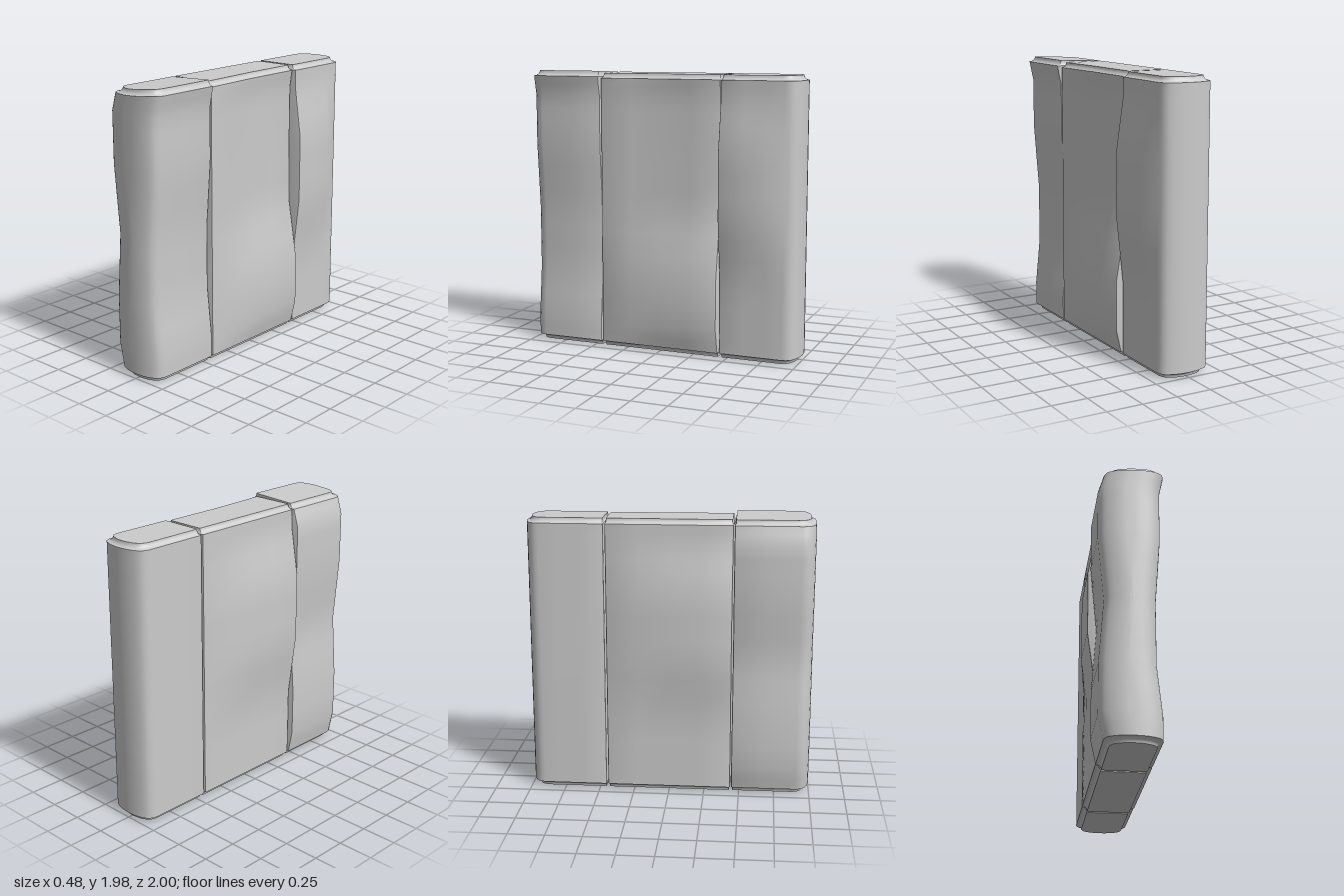
import * as THREE from 'three';
import { toCreasedNormals } from 'three/addons/utils/BufferGeometryUtils.js';

const TOP = 1.96;
const clamp01 = (t) => Math.min(1, Math.max(0, t));

// Piecewise-linear profile through [y, width] knots
function profile(knots) {
  return (y) => {
    if (y <= knots[0][0]) return knots[0][1];
    for (let i = 1; i < knots.length; i++) {
      const [y0, w0] = knots[i - 1], [y1, w1] = knots[i];
      if (y <= y1) return w0 + (w1 - w0) * (y - y0) / (y1 - y0);
    }
    return knots[knots.length - 1][1];
  };
}

// End outlines as [inset in x, inset in z], from the flank to the middle
const ROUND_END = [[0, 0.1], [0.005, 0.075], [0.017, 0.05], [0.037, 0.033], [0.065, 0.02], [0.1, 0.009], [0.14, 0.002], [0.175, 0]];
const JOINT_END = [[0, 0.01], [0.003, 0.003], [0.01, 0]];

// Heights and insets of the horizontal rings, with rounded top and bottom edges
function rings() {
  const r = 0.035, list = [];
  for (let i = 0; i <= 5; i++) {
    const a = i / 5 * Math.PI / 2;
    list.push([r * (1 - Math.sin(a)), r * (1 - Math.cos(a))]);
  }
  const arc = list.reverse().map(([y, d]) => [y, d]);
  const bottom = arc.slice().reverse().map(([y, d]) => [r - y, r - d]);
  bottom.sort((a, b) => a[0] - b[0]);
  const top = bottom.map(([y, d]) => [TOP - y, d]).reverse();
  const middle = [0.1, 0.2, 0.36, 0.54, 0.7, 0.85, 0.98, 1.13, 1.3, 1.45, 1.6, 1.7, 1.8, 1.87].map((y) => [y, 0]);
  return [...bottom, ...middle, ...top];
}

// One upright slab lofted from rings; left(y,z) and right(y,z) give its flanks
function panel({ name, z0, z1, backEnd, frontEnd, knots, left, right, lift = 0 }) {
  const rows = [
    ...frontEnd.slice().reverse().map(([ix, iz]) => [ix, z1 - iz]),
    ...knots.map((z) => [0, z]),
    ...backEnd.map(([ix, iz]) => [ix, z0 + iz]),
  ];
  const n = rows.length, loop = 2 * n, levels = rings();
  const pos = [], index = [];
  for (const [y, d] of levels) {
    const dFront = frontEnd === ROUND_END ? d : d * 0.2;
    const dBack = backEnd === ROUND_END ? d : d * 0.2;
    const point = ([ix, z], side) => {
      const half = side > 0 ? right(y, z) : left(y, z);
      const x = side * (half - ix) * (half - d) / half;
      const t = (z - z0) / (z1 - z0);
      const rise = lift * clamp01((y - 1.8) / 0.16) * clamp01((x + 0.02) / 0.2);
      pos.push(x, y + rise, z0 + dBack + t * (z1 - z0 - dBack - dFront));
    };
    rows.forEach((p) => point(p, 1));
    rows.slice().reverse().forEach((p) => point(p, -1));
  }
  const quad = (a, b, c, d) => index.push(a, b, c, a, c, d);
  // Walls
  for (let j = 0; j < levels.length - 1; j++) {
    for (let i = 0; i < loop; i++) {
      const k = (i + 1) % loop, o = j * loop;
      quad(o + i, o + k, o + loop + k, o + loop + i);
    }
  }
  // Top and bottom caps
  const o = (levels.length - 1) * loop;
  for (let i = 0; i < n - 1; i++) {
    const m = loop - 1 - i;
    quad(o + i, o + i + 1, o + m - 1, o + m);
    quad(m, m - 1, i + 1, i);
  }
  const geo = new THREE.BufferGeometry();
  geo.setAttribute('position', new THREE.Float32BufferAttribute(pos, 3));
  geo.setIndex(index);
  const mesh = new THREE.Mesh(toCreasedNormals(geo, 0.6), new THREE.MeshStandardMaterial({ color: 0xcccccc }));
  mesh.name = name;
  return mesh;
}

export function createModel() {
  const group = new THREE.Group();
  group.name = 'wallSegment';

  // Front slab: both flanks wavy, constant along z
  const frontLeft = profile([[0.03, 0.19], [0.2, 0.19], [0.54, 0.155], [0.98, 0.155], [1.45, 0.19], [1.8, 0.19], [1.93, 0.22]]);
  const frontRight = profile([[0.03, 0.178], [0.2, 0.213], [0.54, 0.213], [0.98, 0.18], [1.45, 0.222], [1.8, 0.222], [1.94, 0.18]]);
  group.add(panel({
    name: 'frontSlab', z0: 0.446, z1: 1, backEnd: JOINT_END, frontEnd: ROUND_END, knots: [0.68],
    left: frontRight, right: frontLeft, lift: 0.015,
  }));

  // Middle slab: flanks bulge on opposite halves
  const midPlus = profile([[0.03, 0.19], [0.2, 0.23], [0.54, 0.23], [0.98, 0.155], [1.45, 0.15], [1.8, 0.15], [1.94, 0.17]]);
  const midMinus = profile([[0.54, 0.18], [0.98, 0.24], [1.45, 0.24], [1.8, 0.18]]);
  group.add(panel({
    name: 'middleSlab', z0: -0.44, z1: 0.438, backEnd: JOINT_END, frontEnd: JOINT_END, knots: [0.22, 0, -0.22],
    left: (y, z) => THREE.MathUtils.lerp(midMinus(y), 0.18, clamp01(-z / 0.44)),
    right: (y, z) => THREE.MathUtils.lerp(midPlus(y), 0.19, clamp01(z / 0.44)),
  }));

  // Back slab: flat on one flank, a bulge on the other that fades to the rear
  const backPlus = profile([[0.54, 0.188], [0.98, 0.238], [1.45, 0.238], [1.8, 0.188]]);
  group.add(panel({
    name: 'backSlab', z0: -1, z1: -0.45, backEnd: ROUND_END, frontEnd: JOINT_END, knots: [-0.62, -0.78],
    left: () => 0.18,
    right: (y, z) => THREE.MathUtils.lerp(backPlus(y), 0.188, clamp01((-z - 0.78) / 0.13)),
  }));
  return group;
}
